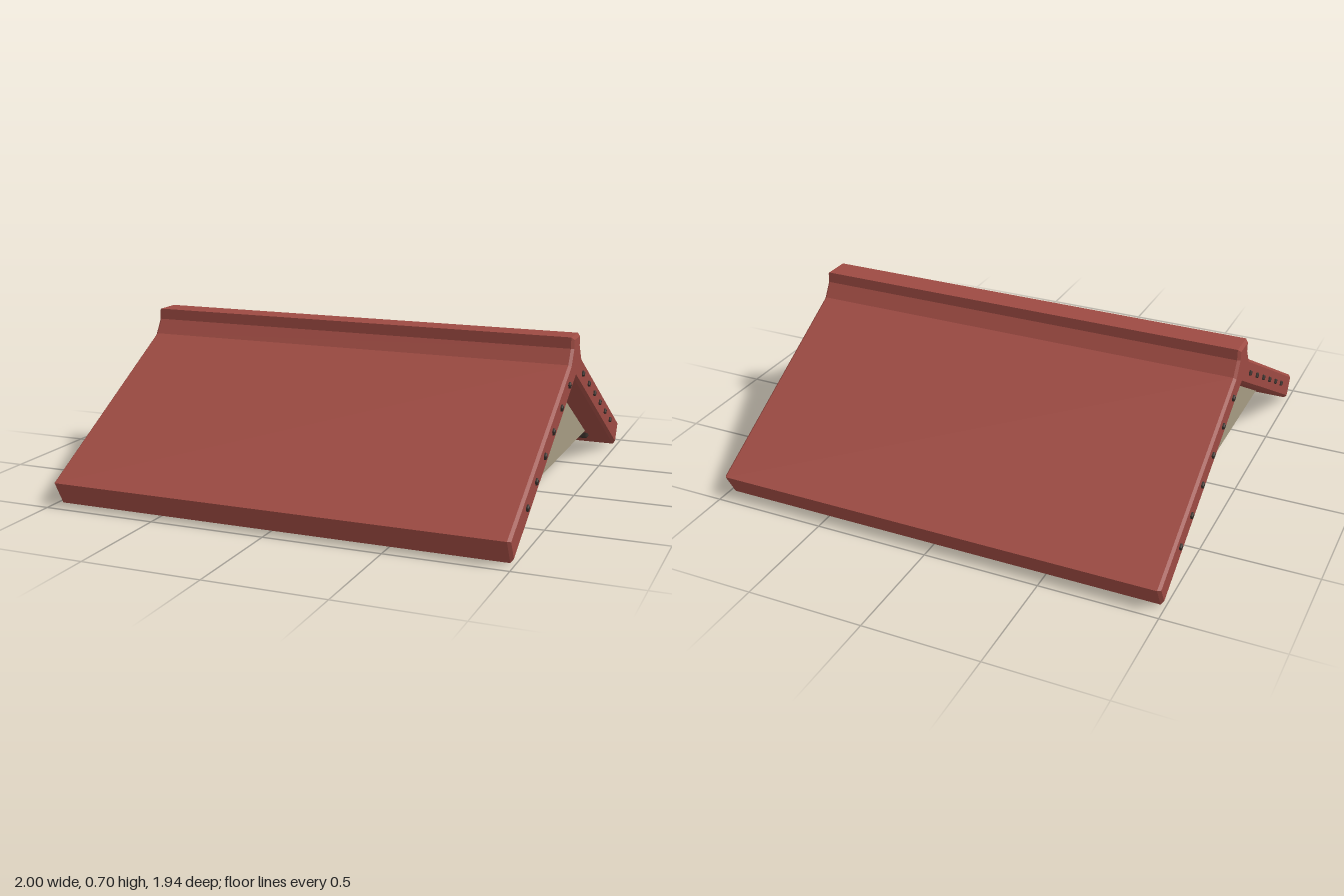
import * as THREE from 'three';
import { RoundedBoxGeometry } from 'three/addons/geometries/RoundedBoxGeometry.js';

const mat = (color, extra = {}) => new THREE.MeshStandardMaterial({ color, ...extra });

function add(parent, name, geometry, material) {
  const mesh = new THREE.Mesh(geometry, material);
  mesh.name = name;
  parent.add(mesh);
  return mesh;
}

export function createModel() {
  const model = new THREE.Group();
  model.name = 'gableRoof';
  const red = mat(0x9c4a42, { flatShading: true });
  const plaster = mat(0xa59a82, { side: THREE.DoubleSide });
  const dark = mat(0x3a302b);

  // Roof shell: mirrored cross-section (z, y) with ridge cap, bevelled at both ends
  const half = [[0.06, 0.703], [0.06, 0.655], [0.098, 0.592], [0.97, 0.103], [0.915, 0.003]];
  const outline = [
    ...half,
    [0, 0.522],
    ...half.map(([z, y]) => [-z, y]).reverse(),
  ].map(([z, y]) => new THREE.Vector2(z, y));
  const length = 1.98, bevel = 0.012;
  const shell = new THREE.ExtrudeGeometry(new THREE.Shape(outline), {
    depth: length - 2 * bevel, bevelThickness: bevel, bevelSize: bevel,
    bevelOffset: -bevel, bevelSegments: 1,
  });
  shell.translate(0, 0, -length / 2 + bevel).rotateY(Math.PI / 2);
  add(model, 'roofShell', shell, red);

  // Recessed gable walls
  const triangle = new THREE.Shape([
    new THREE.Vector2(-0.76, 0.1), new THREE.Vector2(0.76, 0.1), new THREE.Vector2(0, 0.525),
  ]);
  for (const side of [1, -1]) {
    const wall = add(model, side > 0 ? 'leftGable' : 'rightGable',
      new THREE.ShapeGeometry(triangle), plaster);
    wall.rotation.y = side * Math.PI / 2;
    wall.position.x = side * 0.875;
  }

  // Nail heads along the sloping end faces
  const nails = new THREE.Group();
  nails.name = 'nailHeads';
  model.add(nails);
  const nailGeometry = new RoundedBoxGeometry(0.03, 0.023, 0.023, 1, 0.005);
  for (const end of [1, -1]) {
    for (const slope of [1, -1]) {
      for (let i = 0; i < 6; i++) {
        const nail = add(nails, 'nailHead', nailGeometry, dark);
        nail.position.set(end * 0.985, 0.514 - i * 0.0695, slope * (0.124 + i * 0.1242));
        nail.rotation.x = slope * 0.51;
      }
    }
  }

  // Rail under the rear eave
  add(model, 'rearRail', new RoundedBoxGeometry(1.76, 0.045, 0.085, 2, 0.012), dark)
    .position.set(0, 0.074, -0.818);

  return model;
}
